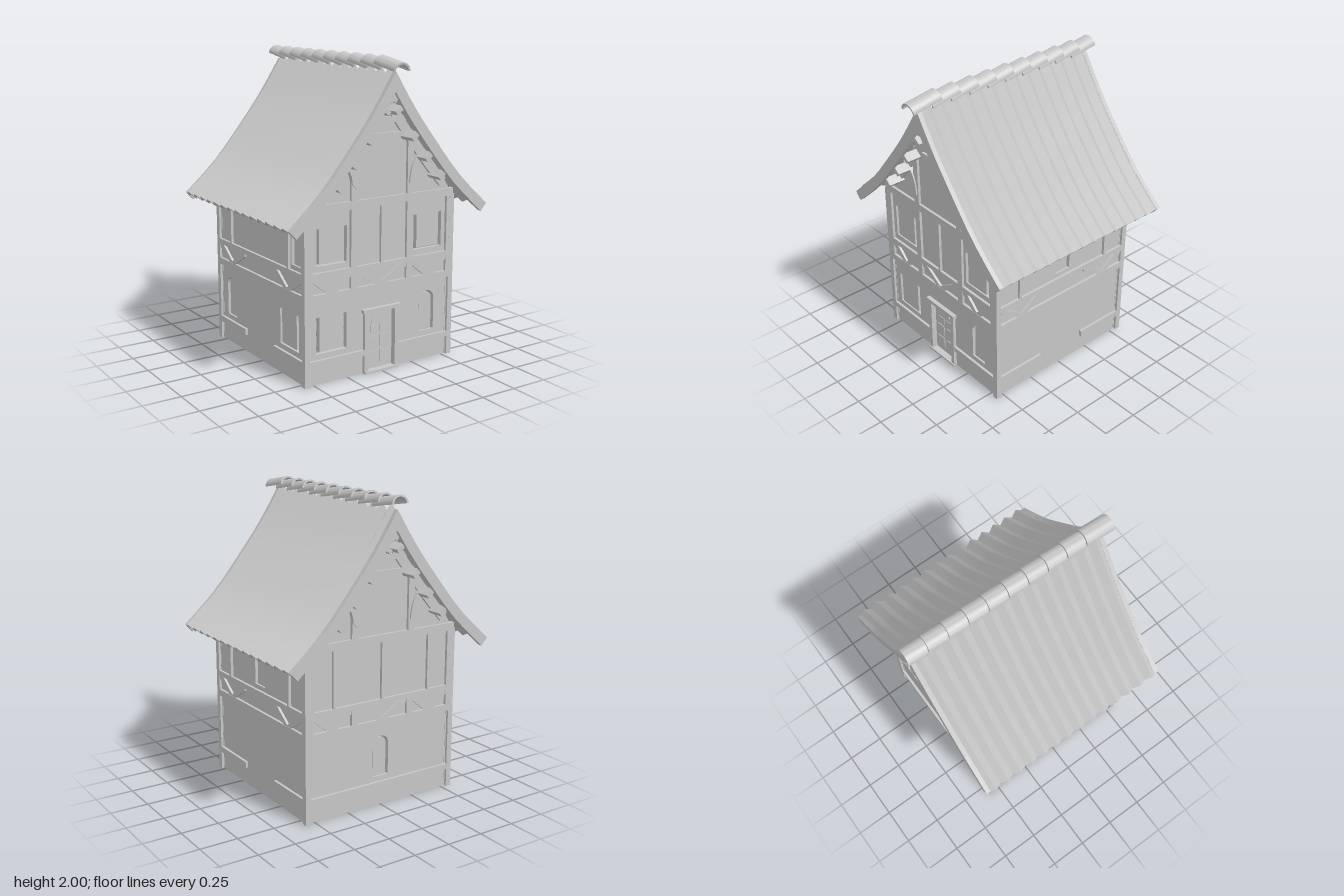
import * as THREE from 'three';
import { toCreasedNormals } from 'three/addons/utils/BufferGeometryUtils.js';

const grey = new THREE.MeshStandardMaterial({ color: 0xc6c6c6 });
grey.name = 'plain grey';

const HALF = 0.571;       // half width of the square house
const WALL = 0.553;       // outer face of the infill panels

function add(parent, name, geo) {
  const m = new THREE.Mesh(geo, grey);
  m.name = name;
  parent.add(m);
  return m;
}

// Box given by its limits
function block(parent, name, x0, x1, y0, y1, z0, z1) {
  const m = add(parent, name, new THREE.BoxGeometry(x1 - x0, y1 - y0, z1 - z0));
  m.position.set((x0 + x1) / 2, (y0 + y1) / 2, (z0 + z1) / 2);
  return m;
}
const bar = (p, x0, x1, y0, y1, name = 'beam') => block(p, name, x0, x1, y0, y1, 0.54, HALF);

function plate(parent, name, shape, z0, z1) {
  const geo = new THREE.ExtrudeGeometry(shape, { depth: z1 - z0, bevelEnabled: false, curveSegments: 8 });
  const m = add(parent, name, geo);
  m.position.z = z0;
  return m;
}
const poly = (pts) => new THREE.Shape(pts.map(([x, y]) => new THREE.Vector2(x, y)));

// Sloping roof line on the +x side, d = distance below the tile crests
const roofLine = new THREE.SplineCurve(
  [[0, 1.95], [0.16, 1.705], [0.33, 1.485], [0.53, 1.25], [0.755, 1.045]].map(([x, y]) => new THREE.Vector2(x, y)));
function roofPoint(t, d) {
  const p = roofLine.getPoint(t), n = roofLine.getTangent(t);
  let x = p.x + n.y * d, y = p.y - n.x * d;
  if (x < 0) { y += x * 1.55; x = 0; }
  return [x, y];
}
function roofPoints(d, t0 = 0, t1 = 1, n = 12) {
  return Array.from({ length: n + 1 }, (_, i) => roofPoint(t0 + (t1 - t0) * i / n, d));
}
const flip = (pts) => pts.map(([x, y]) => [-x, y]).reverse();
const roofBand = (d0, d1, s, t1 = 1) => {
  const pts = [...roofPoints(d1, 0, t1), ...roofPoints(d0, 0, t1).reverse()];
  return poly(s > 0 ? pts : flip(pts));
};

// Window outlines
function archPath(Type, u, y0, w, h) {
  const p = new Type(), r = w / 2;
  p.moveTo(u - r, y0);
  p.lineTo(u + r, y0);
  p.lineTo(u + r, y0 + h - r);
  p.absarc(u, y0 + h - r, r, 0, Math.PI, false);
  p.closePath();
  return p;
}
function slotPath(u, y0, w, h, t = 0.024) {
  const a = u - w / 2, b = u + w / 2, y1 = y0 + h;
  return new THREE.Path([[a, y0], [b, y0], [b, y1], [b - t, y1], [b - t, y0 + t * 0.5],
    [a + t, y0 + t * 0.5], [a + t, y1], [a, y1]].map(([x, y]) => new THREE.Vector2(x, y)));
}

// One V-shaped brace between the two middle rails
function vBrace(p, x0, x1) {
  const c = (x0 + x1) / 2, w = 0.034;
  for (const x of [x0, x1]) {
    const s = Math.sign(x - c);
    plate(p, 'vBrace', poly(s > 0
      ? [[c, 0.575], [c + w, 0.575], [x, 0.66], [x, 0.69], [x - w, 0.69], [c, 0.59]]
      : [[c, 0.575], [c, 0.59], [x + w, 0.69], [x, 0.69], [x, 0.66], [c - w, 0.575]]), 0.54, HALF - 0.002);
  }
}

// Wall panel with window openings; arches get a recessed pane
function wall(p, shape, arches, slots) {
  for (const a of arches) {
    shape.holes.push(archPath(THREE.Path, ...a));
    const [u, y, w, h] = a;
    plate(p, 'windowPane', archPath(THREE.Shape, u, y, w - 0.022, h - 0.012), 0.527, 0.54);
  }
  for (const s of slots) shape.holes.push(slotPath(...s));
  plate(p, 'wallPanel', shape, 0.525, WALL);
}

function rails(p) {
  bar(p, -0.56, 0.56, 0.535, 0.58, 'lowerRail');
  bar(p, -0.56, 0.56, 0.68, 0.715, 'upperRail');
}

function gableSide(p, arches, slots, posts, doorway) {
  const top = roofPoints(0.06).filter(([x]) => x < 0.55);
  const pts = [[-0.555, 0], [0.555, 0], [0.555, 1.1], ...top.slice().reverse(), ...flip(top).reverse().slice(1), [-0.555, 1.1]];
  const shape = poly(pts);
  if (doorway) shape.holes.push(new THREE.Path([[-0.105, 0.005], [0.105, 0.005], [0.105, 0.4], [-0.105, 0.4]]
    .map(([x, y]) => new THREE.Vector2(x, y))));
  wall(p, shape, arches, slots);
  rails(p);
  bar(p, -0.56, 0.56, 1.08, 1.13, 'tieBeam');
  for (const [a, b] of posts) bar(p, a, b, 0.7, 1.1, 'post');
  for (const [a, b] of [[-0.51, -0.235], [-0.19, 0.19], [0.235, 0.51]]) vBrace(p, a, b);
  for (const x of [-0.212, 0.212]) bar(p, x - 0.0225, x + 0.0225, 0.56, 0.7, 'post');
  // gable framing
  bar(p, -0.235, 0.235, 1.5, 1.53, 'collarBeam');
  bar(p, -0.17, 0.17, 1.59, 1.625, 'upperCollar');
  bar(p, -0.01, 0.01, 1.6, 1.83, 'kingPost');
  for (const s of [-1, 1]) {
    const a = s * 0.19, b = s * 0.235;
    bar(p, Math.min(a, b), Math.max(a, b), 1.1, 1.51, 'gablePost');
    plate(p, 'gableRafter', roofBand(0.06, 0.125, s, 0.76), 0.54, HALF);
    const curve = new THREE.Shape();
    curve.moveTo(s * 0.2, 1.2);
    curve.lineTo(s * 0.232, 1.23);
    curve.quadraticCurveTo(s * 0.24, 1.35, s * 0.335, 1.365);
    curve.lineTo(s * 0.32, 1.4);
    curve.quadraticCurveTo(s * 0.21, 1.38, s * 0.2, 1.2);
    plate(p, 'curvedBrace', curve, 0.54, HALF + 0.01);
    // purlin ends carrying the roof overhang
    for (const t of [0.07, 0.22, 0.4, 0.55, 0.68]) {
      const [x, y] = roofPoint(t, 0.11), tan = roofLine.getTangent(t);
      const m = add(p, 'purlinEnd', new THREE.BoxGeometry(0.028, 0.06, 0.13));
      m.position.set(s * x, y, 0.605);
      m.rotation.z = s * Math.atan2(tan.y, tan.x);
    }
  }
}

function eaveSide(p, arches, slots) {
  wall(p, poly([[-0.555, 0], [0.555, 0], [0.555, 1.11], [-0.555, 1.11]]), arches, slots);
  rails(p);
  bar(p, -0.56, 0.56, 1.05, 1.1, 'wallPlate');
  for (const s of [-1, 1]) {
    bar(p, s * 0.372 - 0.01, s * 0.372 + 0.01, 0.7, 1.06, 'post');
    bar(p, Math.min(s * 0.185, s * 0.55), Math.max(s * 0.185, s * 0.55), 0.12, 0.162, 'sillBeam');
    vBrace(p, Math.min(s * 0.53, s * 0.185), Math.max(s * 0.53, s * 0.185));
  }
}

function door(p) {
  block(p, 'doorLeaf', -0.106, 0.106, 0.01, 0.402, 0.52, 0.538);
  for (const s of [-1, 1]) {
    block(p, 'doorJamb', s * 0.1175 - 0.0145, s * 0.1175 + 0.0145, 0, 0.405, 0.52, 0.575);
    for (const y of [0.05, 0.15]) block(p, 'doorPanel', s * 0.045 - 0.035, s * 0.045 + 0.035, y, y + 0.08, 0.53, 0.543);
    block(p, 'doorPane', s * 0.035 - 0.027, s * 0.035 + 0.027, 0.255, 0.3, 0.53, 0.543);
  }
  plate(p, 'doorArch', archPath(THREE.Shape, 0, 0.305, 0.124, 0.062), 0.53, 0.543);
  block(p, 'doorLintel', -0.145, 0.145, 0.4, 0.425, 0.53, 0.582);
  block(p, 'doorStep', -0.132, 0.132, 0, 0.014, 0.51, 0.584);
}

// Corrugated tile sheet on one slope (s = 1 or -1)
function tileSheet(s) {
  const n = 10, m = 28, pos = [];
  const P = (i, j, under) => {
    const [x, y] = roofPoint(i / n, (j % 2 ? 0 : 0.034) + (under ? 0.026 : 0));
    return [s * x, y, -0.688 + 0.0483 * j];
  };
  const quad = (a, b, c, d) => {
    if (s < 0) [b, d] = [d, b];
    pos.push(...a, ...b, ...c, ...a, ...c, ...d);
  };
  for (let j = 0; j < m; j++) {
    for (let i = 0; i < n; i++) {
      quad(P(i, j), P(i, j + 1), P(i + 1, j + 1), P(i + 1, j));
      quad(P(i, j, 1), P(i + 1, j, 1), P(i + 1, j + 1, 1), P(i, j + 1, 1));
      if (j === 0) quad(P(i, 0), P(i + 1, 0), P(i + 1, 0, 1), P(i, 0, 1));
      if (j === m - 1) quad(P(i, m), P(i, m, 1), P(i + 1, m, 1), P(i + 1, m));
    }
    quad(P(n, j), P(n, j + 1), P(n, j + 1, 1), P(n, j, 1));
  }
  const geo = new THREE.BufferGeometry();
  geo.setAttribute('position', new THREE.Float32BufferAttribute(pos, 3));
  return toCreasedNormals(geo, 0.3);
}

export function createModel() {
  const model = new THREE.Group();
  model.name = 'timberHouse';
  const body = new THREE.Group();
  body.name = 'body';
  body.position.z = -0.011;
  model.add(body);
  const face = (name, turn) => {
    const g = new THREE.Group();
    g.name = name;
    g.rotation.y = turn;
    body.add(g);
    return g;
  };

  // Four walls
  const posts = [[-0.235, -0.19], [-0.01, 0.01], [0.19, 0.235]];
  const front = face('frontWall', 0);
  gableSide(front, [[0.37, 0.195, 0.12, 0.27]],
    [[-0.368, 0.753, 0.224, 0.23], [0.368, 0.753, 0.224, 0.23], [-0.368, 0.196, 0.224, 0.235]], posts, true);
  for (const s of [-1, 1]) bar(front, s * 0.34 - 0.21, s * 0.34 + 0.21, 0.122, 0.16, 'sillBeam');
  door(front);
  const back = face('backWall', Math.PI);
  gableSide(back, [[0, 0.195, 0.12, 0.27]], [], [[-0.37, -0.35], [-0.01, 0.01], [0.35, 0.37]], false);
  bar(back, -0.56, 0.56, 0.122, 0.16, 'sillBeam');
  eaveSide(face('leftWall', Math.PI / 2), [[0, 0.745, 0.12, 0.255]], []);
  eaveSide(face('rightWall', -Math.PI / 2), [[-0.4, 0.195, 0.12, 0.27], [0.45, 0.745, 0.11, 0.255]],
    [[0.36, 0.196, 0.224, 0.235]]);

  // Corner posts
  for (const x of [-0.5525, 0.5525]) for (const z of [-0.5525, 0.5525]) {
    block(body, 'cornerPost', x - 0.0185, x + 0.0185, 0, 1.09, z - 0.0185, z + 0.0185);
    block(body, 'upperCornerPost', Math.sign(x) * 0.54 - 0.03, Math.sign(x) * 0.54 + 0.03, 0.56, 1.09, z - 0.0182, z + 0.0182);
  }

  // Roof slopes with verge boards at both gables
  const roof = new THREE.Group();
  roof.name = 'roof';
  model.add(roof);
  for (const s of [-1, 1]) {
    add(roof, 'tiles', tileSheet(s));
    plate(roof, 'frontVerge', roofBand(0.022, 0.088, s), 0.65, 0.68);
    plate(roof, 'backVerge', roofBand(0.022, 0.088, s), -0.703, -0.673);
  }

  // Overlapping half-round ridge tiles
  const half = new THREE.Shape();
  half.absellipse(0, 0, 0.06, 0.053, 0, Math.PI, false);
  half.absellipse(0, 0, 0.047, 0.041, Math.PI, 0, true);
  const ridgeGeo = toCreasedNormals(
    new THREE.ExtrudeGeometry(half, { depth: 0.21, bevelEnabled: false, curveSegments: 10 }), 0.6);
  for (let k = 0; k < 10; k++) {
    const m = add(roof, 'ridgeTile', ridgeGeo);
    m.position.set(0, 1.947, 0.53 - 0.14 * k);
    m.rotation.x = 0.165;
  }
  return model;
}
